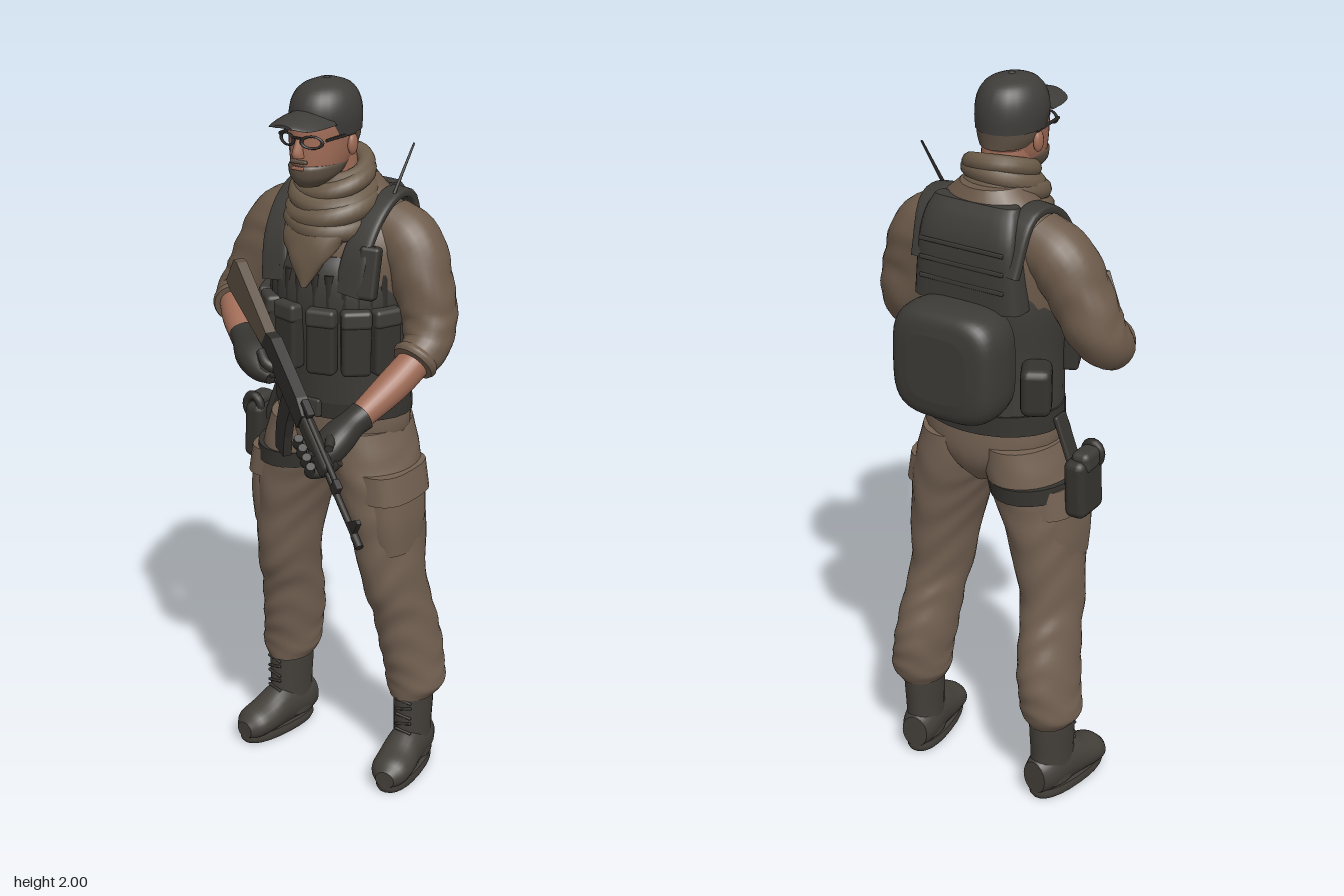
import * as THREE from 'three';
import { RoundedBoxGeometry } from 'three/addons/geometries/RoundedBoxGeometry.js';

const V = (x, y, z) => new THREE.Vector3(x, y, z);
const UP = V(0, 1, 0), FWD = V(0, 0, 1);
const mat = (name, color) => { const m = new THREE.MeshStandardMaterial({ color }); m.name = name; return m; };

// Smooth capped skin over elliptical sections [x, y, z, ra, rb].
// axis fixes the section normal; without it sections follow the path. power < 1 squares them off.
function loft(sections, { axis = null, power = 1, fold = 0, seg = 24, sub = 4 } = {}) {
  const path = new THREE.CatmullRomCurve3(sections.map(s => V(s[0], s[1], s[2])), false, 'catmullrom');
  const radii = new THREE.CatmullRomCurve3(sections.map(s => V(s[3], s[4] ?? s[3], 0)), false, 'catmullrom');
  const rows = (sections.length - 1) * sub, pos = [], idx = [];
  let A = null;
  const ring = (i, f) => {
    const t = i / rows, c = path.getPoint(t), r = radii.getPoint(t);
    const T = axis ? axis.clone() : path.getTangent(t);
    if (!A) A = Math.abs(T.x) < 0.8 ? V(1, 0, 0) : V(0, 0, 1);
    A.addScaledVector(T, -A.dot(T)).normalize();
    const B = A.clone().cross(T);
    for (let j = 0; j < seg; j++) {
      const a = j / seg * Math.PI * 2, ca = Math.cos(a), sa = Math.sin(a);
      const k = f * (1 + fold * Math.sin(i * 1.1 + 3 * Math.sin(a * 2 + i * 0.13)) * Math.sin(Math.PI * t));
      const p = c.clone()
        .addScaledVector(A, Math.sign(ca) * Math.abs(ca) ** power * r.x * k)
        .addScaledVector(B, Math.sign(sa) * Math.abs(sa) ** power * r.y * k);
      pos.push(p.x, p.y, p.z);
    }
  };
  for (let i = 0; i <= rows; i++) ring(i, 1);
  for (let i = 0; i < rows; i++) for (let j = 0; j < seg; j++) {
    const a = i * seg + j, b = i * seg + (j + 1) % seg;
    idx.push(a, a + seg, b, b, a + seg, b + seg);
  }
  for (const i of [0, rows]) {
    const base = pos.length / 3;
    ring(i, 1); ring(i, 0);
    for (let j = 0; j < seg; j++) {
      const a = base + j, b = base + (j + 1) % seg;
      if (i === 0) idx.push(base + seg, a, b); else idx.push(base + seg, b, a);
    }
  }
  const g = new THREE.BufferGeometry();
  g.setAttribute('position', new THREE.Float32BufferAttribute(pos, 3));
  g.setIndex(idx);
  g.computeVertexNormals();
  return g;
}

const box = (w, h, d, r = 0.012) => new RoundedBoxGeometry(w, h, d, 2, Math.min(r, w / 2.1, h / 2.1, d / 2.1));
const plate = (pts, depth) => new THREE.ExtrudeGeometry(new THREE.Shape(pts.map(p => new THREE.Vector2(...p))),
  { depth, bevelEnabled: false }).translate(0, 0, -depth / 2);

export function createModel() {
  const M = {
    shirt: mat('shirt brown', 0x6d5b4b), trousers: mat('trouser brown', 0x736152), scarf: mat('scarf tan', 0x6b5b49),
    vest: mat('webbing grey', 0x3d3b37), pouch: mat('pouch dark grey', 0x35332f), skin: mat('skin', 0xa06c57),
    cap: mat('cap grey', 0x3f3d3a), boot: mat('boot grey brown', 0x433f39),
    metal: mat('gunmetal', 0x2f2d2a), wood: mat('worn stock and beard', 0x5d5043),
  };
  const model = new THREE.Group();
  const add = (name, geo, m, p = [0, 0, 0], r = [0, 0, 0], parent = model) => {
    const mesh = new THREE.Mesh(geo, m);
    mesh.name = name; mesh.position.set(...p); mesh.rotation.set(...r);
    parent.add(mesh);
    return mesh;
  };

  // Legs, boots and cargo pockets
  add('hips', loft([[-.005, .93, -.13, .03, .08], [-.005, .98, -.125, .12, .128], [0, 1.04, -.125, .188, .146],
    [0, 1.13, -.12, .192, .147], [0, 1.2, -.12, .18, .14]], { axis: UP }), M.trousers);
  for (const s of [-1, 1]) {
    const side = s > 0 ? 'left' : 'right', x0 = -.008;
    const leg = [[.213, .235, -.18, .062, .078], [.215, .27, -.187, .082, .09], [.21, .32, -.187, .08, .098],
      [.2, .4, -.178, .08, .107], [.19, .5, -.155, .078, .104], [.178, .6, -.125, .08, .11],
      [.16, .75, -.12, .09, .127], [.135, .88, -.12, .106, .141], [.11, .97, -.123, .112, .147], [.095, 1.06, -.125, .1, .142]];
    add(side + 'TrouserLeg', loft(leg.map(([x, ...r]) => [x0 + s * x, ...r]), { axis: UP, fold: .025, sub: 6, seg: 40 }), M.trousers);
    const pocket = (name, rows) => add(name, loft(rows.map(([x, ...r]) => [x0 + s * x, ...r]), { axis: UP, power: .7 }), M.trousers);
    pocket(side + 'CargoPocket', [[.182, .715, -.105, .066, .09], [.172, .8, -.105, .08, .105], [.168, .89, -.108, .08, .11]]);
    pocket(side + 'PocketFlap', [[.168, .87, -.108, .088, .12], [.158, .95, -.108, .084, .12]]);
    const boot = new THREE.Group();
    boot.name = side + 'Boot';
    boot.position.set(x0 + s * .213, 0, -.18);
    boot.rotation.y = s * .16;
    model.add(boot);
    const onBoot = (name, geo, m, p, r) => add(name, geo, m, p, r, boot);
    onBoot('bootShaft', loft([[0, .04, 0, .052, .075], [0, .12, .002, .05, .072], [0, .2, 0, .053, .074], [0, .27, 0, .055, .076]], { axis: UP }), M.boot);
    onBoot('bootFoot', loft([[0, .07, -.075, .038, .05], [0, .075, -.03, .052, .065], [0, .075, .05, .053, .068],
      [0, .06, .12, .058, .05], [0, .052, .17, .053, .042], [0, .042, .2, .028, .025]], { axis: FWD }), M.boot);
    onBoot('bootSole', loft([[0, 0, .063, .05, .132], [0, .012, .063, .055, .139], [0, .03, .063, .053, .137]], { axis: UP, power: .85, sub: 2 }), M.boot);
    for (let i = 0; i < 5; i++)
      onBoot('bootLace', box(.05, .008, .008, .003), M.pouch, [0, .135 + i * .024, .073], [0, 0, i % 2 ? .2 : -.2]);
  }

  // Torso and vest
  add('shirtBody', loft([[0, 1.15, -.12, .17, .13], [0, 1.3, -.11, .17, .14], [0, 1.45, -.11, .2, .148], [0, 1.56, -.115, .21, .14],
    [0, 1.63, -.125, .19, .122], [0, 1.68, -.13, .15, .1], [0, 1.74, -.12, .085, .085]], { axis: UP }), M.shirt);
  add('vestBody', loft([[0, 1.145, -.118, .192, .153], [0, 1.3, -.11, .188, .16], [0, 1.42, -.105, .198, .168], [0, 1.5, -.108, .186, .164],
    [0, 1.55, -.11, .15, .15]], { axis: UP, seg: 32 }), M.vest);
  add('vestBackPanel', loft([[0, 1.45, -.22, .16, .055], [0, 1.6, -.222, .145, .05], [0, 1.67, -.21, .135, .04], [0, 1.71, -.195, .12, .025]],
    { axis: UP, power: .5 }), M.vest);
  for (const s of [-1, 1])
    add('shoulderStrap', loft([[s * .115, 1.46, .03, .042, .015], [s * .127, 1.57, .008, .038, .013], [s * .14, 1.655, -.05, .03, .012],
      [s * .143, 1.697, -.13, .028, .012], [s * .14, 1.675, -.205, .028, .013], [s * .13, 1.55, -.255, .028, .014]], { power: .5 }), M.vest);
  add('belt', loft([[0, 1.1, -.122, .2, .153], [0, 1.155, -.12, .197, .154]], { axis: UP, sub: 1 }), M.pouch);
  add('beltBuckle', box(.06, .05, .02, .006), M.vest, [0, 1.128, .034]);

  // Pouches wrapped round the vest, with magazines above
  const onVest = (a, r = 0) => [Math.sin(a) * (.19 + r), -.11 + Math.cos(a) * (.163 + r)];
  for (const a of [-1.15, -.72, -.26, .26, .72, 1.15]) {
    const [x, z] = onVest(a, .012);
    add('magazinePouch', box(.078, .17, .045), M.pouch, [x, 1.325, z], [0, a, 0]);
    add('pouchFlap', box(.082, .05, .052), M.vest, [x, 1.395, z], [0, a, 0]);
    for (const d of [-.06, .06]) {
      const [mx, mz] = onVest(a * .92 + d * 1.7, -.004);
      add('cartridge', new THREE.CylinderGeometry(.013, .015, .085, 8), M.metal, [mx, 1.463, mz]);
    }
  }
  for (let i = 0; i < 3; i++) add('backWebbing', box(.25, .012, .006, .003), M.vest, [0, 1.51 + i * .05, -.273]);
  add('rightRearPouch', box(.08, .13, .1, .022), M.pouch, [-.19, 1.25, -.22], [0, .5, 0]);
  add('leftRearPouch', box(.06, .12, .09, .02), M.pouch, [.18, 1.25, -.21], [0, -.5, 0]);
  add('radio', box(.055, .14, .045), M.pouch, [.16, 1.52, .005], [-.2, .3, 0]);
  add('antenna', loft([[.15, 1.56, -.02, .006], [.155, 1.69, -.11, .005], [.175, 1.825, -.18, .003]], { seg: 6 }), M.metal);

  // Backpack
  add('backpack', loft([[0, 1.318, -.392, .09, .09], [0, 1.318, -.383, .13, .13], [0, 1.318, -.355, .152, .151], [0, 1.318, -.3, .158, .154],
    [0, 1.318, -.255, .15, .148]], { axis: FWD, power: .55, seg: 40 }), M.vest);

  // Thigh holster
  add('thighStrap', loft([[-.133, .92, -.121, .116, .15], [-.128, .965, -.122, .119, .153]], { axis: UP, sub: 1 }), M.pouch);
  add('holster', box(.062, .165, .115, .022), M.pouch, [-.276, .957, -.125], [0, 0, -.04]);
  add('holsterTop', box(.054, .06, .075, .018), M.vest, [-.282, 1.03, -.125]);
  add('pistolGrip', new THREE.TorusGeometry(.024, .012, 8, 16).scale(1, 1.2, 1), M.metal, [-.28, 1.03, -.085]);
  add('holsterHanger', box(.015, .16, .05, .006), M.pouch, [-.225, 1.06, -.12], [0, 0, -.35]);

  // Arms with rolled sleeves
  const arms = {
    right: { sleeve: [[-.13, 1.62, -.13, .075], [-.208, 1.57, -.13, .087], [-.255, 1.49, -.122, .083], [-.3, 1.4, -.115, .077], [-.324, 1.35, -.085, .065], [-.298, 1.338, -.035, .055]],
      fore: [[-.32, 1.35, -.06, .044], [-.26, 1.32, .005, .044], [-.19, 1.29, .075, .034]],
      glove: [[-.205, 1.298, .058, .037], [-.18, 1.287, .08, .036], [-.135, 1.27, .11, .048, .04], [-.085, 1.25, .13, .044, .034], [-.045, 1.235, .142, .024, .02]] },
    left: { sleeve: [[.13, 1.62, -.13, .075], [.203, 1.57, -.13, .086], [.244, 1.48, -.122, .081], [.269, 1.39, -.118, .075], [.283, 1.325, -.085, .064], [.276, 1.29, -.035, .055]],
      fore: [[.28, 1.3, -.06, .044], [.25, 1.235, .03, .044], [.212, 1.165, .15, .032]],
      glove: [[.222, 1.18, .125, .038], [.212, 1.165, .155, .036], [.2, 1.14, .2, .046, .04], [.188, 1.11, .245, .044, .036], [.18, 1.095, .28, .024, .022]] },
  };
  for (const [side, a] of Object.entries(arms)) {
    add(side + 'Sleeve', loft(a.sleeve, { fold: .025, sub: 6 }), M.shirt);
    const [q, p] = a.sleeve.slice(-2), lerp = t => [0, 1, 2].map(i => q[i] + (p[i] - q[i]) * t);
    add(side + 'RolledCuff', loft([[...lerp(.7), .059], [...lerp(.9), .064], [...lerp(1.1), .058]]), M.shirt);
    add(side + 'Forearm', loft(a.fore), M.skin);
    add(side + 'Glove', loft(a.glove, { power: .85 }), M.pouch);
  }

  // Head, face and cap
  const head = new THREE.Group();
  head.name = 'head';
  head.position.x = -.008;
  model.add(head);
  const onHead = (name, geo, m, p, r) => add(name, geo, m, p, r, head);
  onHead('neck', loft([[0, 1.64, -.1, .065, .065], [0, 1.82, -.07, .062, .068]], { axis: UP }), M.skin);
  onHead('face', loft([[0, 1.738, .02, .03, .04], [0, 1.76, -.005, .054, .078], [0, 1.8, -.025, .069, .101],
    [0, 1.85, -.033, .077, .109], [0, 1.9, -.037, .08, .11], [0, 1.94, -.04, .07, .09]], { axis: UP }), M.skin);
  onHead('beard', loft([[0, 1.734, .023, .03, .04], [0, 1.757, .002, .057, .078], [0, 1.782, -.01, .067, .094], [0, 1.792, -.016, .066, .095]], { axis: UP }), M.wood);
  onHead('moustache', box(.05, .01, .012, .004), M.wood, [0, 1.803, .077]);
  onHead('hair', loft([[0, 1.825, -.066, .066, .082], [0, 1.85, -.06, .078, .089], [0, 1.89, -.055, .083, .097]], { axis: UP }), M.wood);
  onHead('nose', loft([[0, 1.815, .078, .016, .018], [0, 1.83, .08, .014, .017], [0, 1.865, .072, .008, .01]], { axis: UP, seg: 10 }), M.skin);
  onHead('mouth', box(.036, .009, .008, .003), M.skin, [0, 1.787, .083]);
  onHead('glassesBridge', box(.03, .006, .006, .002), M.metal, [0, 1.866, .083]);
  for (const s of [-1, 1]) {
    onHead('ear', new THREE.SphereGeometry(.02, 12, 8).scale(.5, 1.4, 1), M.skin, [s * .08, 1.835, -.05]);
    onHead('glassesFrame', new THREE.TorusGeometry(.022, .004, 6, 20).scale(1.25, .7, 1), M.metal, [s * .038, 1.857, .073], [0, s * .35, 0]);
    onHead('glassesArm', box(.006, .008, .12, .002), M.metal, [s * .077, 1.864, .0], [0, s * -.08, 0]);
  }
  onHead('capCrown', loft([[0, 1.866, -.05, .086, .102], [0, 1.91, -.045, .09, .107], [0, 1.95, -.045, .082, .098],
    [0, 1.98, -.047, .06, .073], [0, 1.997, -.048, .02, .025]], { axis: UP }), M.cap);
  const brim = loft([[0, 1.927, .02, .078, .006], [0, 1.922, .08, .073, .006], [0, 1.913, .125, .058, .005], [0, 1.907, .146, .03, .004]], { axis: FWD, seg: 32 });
  const bp = brim.attributes.position;
  for (let i = 0; i < bp.count; i++) bp.setY(i, bp.getY(i) - 5 * bp.getX(i) ** 2);
  brim.computeVertexNormals();
  onHead('capBrim', brim, M.cap);
  onHead('capButton', new THREE.SphereGeometry(.01, 10, 6).scale(1, .5, 1), M.cap, [0, 1.996, -.048]);

  // Scarf: tilted coils and a hanging point
  [[1.765, -.078, .078, .024], [1.737, -.07, .085, .027], [1.703, -.064, .09, .03], [1.67, -.062, .096, .033], [1.638, -.06, .095, .034]].forEach(([y, z, r, t], i) =>
    add('scarfCoil', new THREE.TorusGeometry(r, t, 10, 32).rotateX(Math.PI / 2), M.scarf, [.003, y, z], [.36 - i * .04, 0, i % 2 ? .09 : -.09]));
  add('scarfPoint', loft([[0, 1.47, .068, .008, .008], [0, 1.54, .052, .055, .026], [0, 1.6, .022, .092, .045], [0, 1.67, -.025, .1, .06]], { axis: UP, fold: .04 }), M.scarf);

  // Rifle: local x runs to the muzzle, y up
  const rifle = new THREE.Group();
  rifle.name = 'rifle';
  const dir = V(.64, -.53, .365).normalize(), up = UP.clone().addScaledVector(dir, -dir.y).normalize();
  rifle.applyMatrix4(new THREE.Matrix4().makeBasis(dir, up, dir.clone().cross(up)).setPosition(-.25, 1.48, .02));
  model.add(rifle);
  const onRifle = (name, geo, m, p, r) => add(name, geo, m, p, r, rifle);
  const rod = (r, a, b) => new THREE.CylinderGeometry(r, r, b - a, 10).rotateZ(Math.PI / 2).translate((a + b) / 2, 0, 0);
  onRifle('stock', plate([[0, -.075], [.03, -.078], [.27, -.028], [.27, .018], [.02, .024], [0, .015]], .03), M.wood);
  onRifle('receiver', plate([[.25, -.03], [.52, -.03], [.52, .022], [.47, .034], [.28, .034], [.25, .02]], .032), M.metal);
  onRifle('magazine', plate([[.405, -.02], [.46, -.02], [.468, -.08], [.485, -.13], [.512, -.178], [.465, -.198], [.43, -.14], [.412, -.08]], .024), M.metal);
  onRifle('grip', plate([[.275, -.02], [.315, -.02], [.295, -.105], [.26, -.1]], .028), M.metal);
  onRifle('triggerGuard', new THREE.TorusGeometry(.024, .004, 6, 16), M.metal, [.345, -.04, 0]);
  onRifle('handguard', box(.17, .05, .034, .014), M.pouch, [.6, 0, 0]);
  onRifle('barrel', rod(.009, .5, .905), M.metal);
  onRifle('gasTube', rod(.008, .5, .74), M.metal, [0, .022, 0]);
  onRifle('gasBlock', box(.03, .04, .018, .004), M.metal, [.735, .012, 0]);
  onRifle('rearSight', box(.05, .018, .02, .004), M.metal, [.51, .04, 0]);
  onRifle('frontSight', plate([[.83, 0], [.87, 0], [.868, .05], [.855, .05]], .012), M.metal);
  onRifle('muzzleBrake', rod(.011, .87, .907), M.metal);

  // Gloved fingers wrapped round the handguard and grip
  for (let i = 0; i < 4; i++) {
    const x = .565 + i * .029, y = -.03 - i * .022;
    onRifle('leftFinger', loft([[x, -.005, -.045, .015], [x, -.04, -.02, .016], [x, -.038, .025, .015], [x, -.005, .034, .012]], { seg: 10 }), M.pouch);
    if (i < 3) onRifle('rightFinger', loft([[.27, y, .024, .013], [.31, y, .024, .014], [.33, y, 0, .015], [.305, y, -.024, .014], [.27, y, -.026, .011]], { seg: 10 }), M.pouch);
  }
  onRifle('leftThumb', loft([[.57, .0, -.045, .016], [.6, .022, -.034, .015], [.635, .036, -.012, .011]], { seg: 10 }), M.pouch);

  return model;
}
